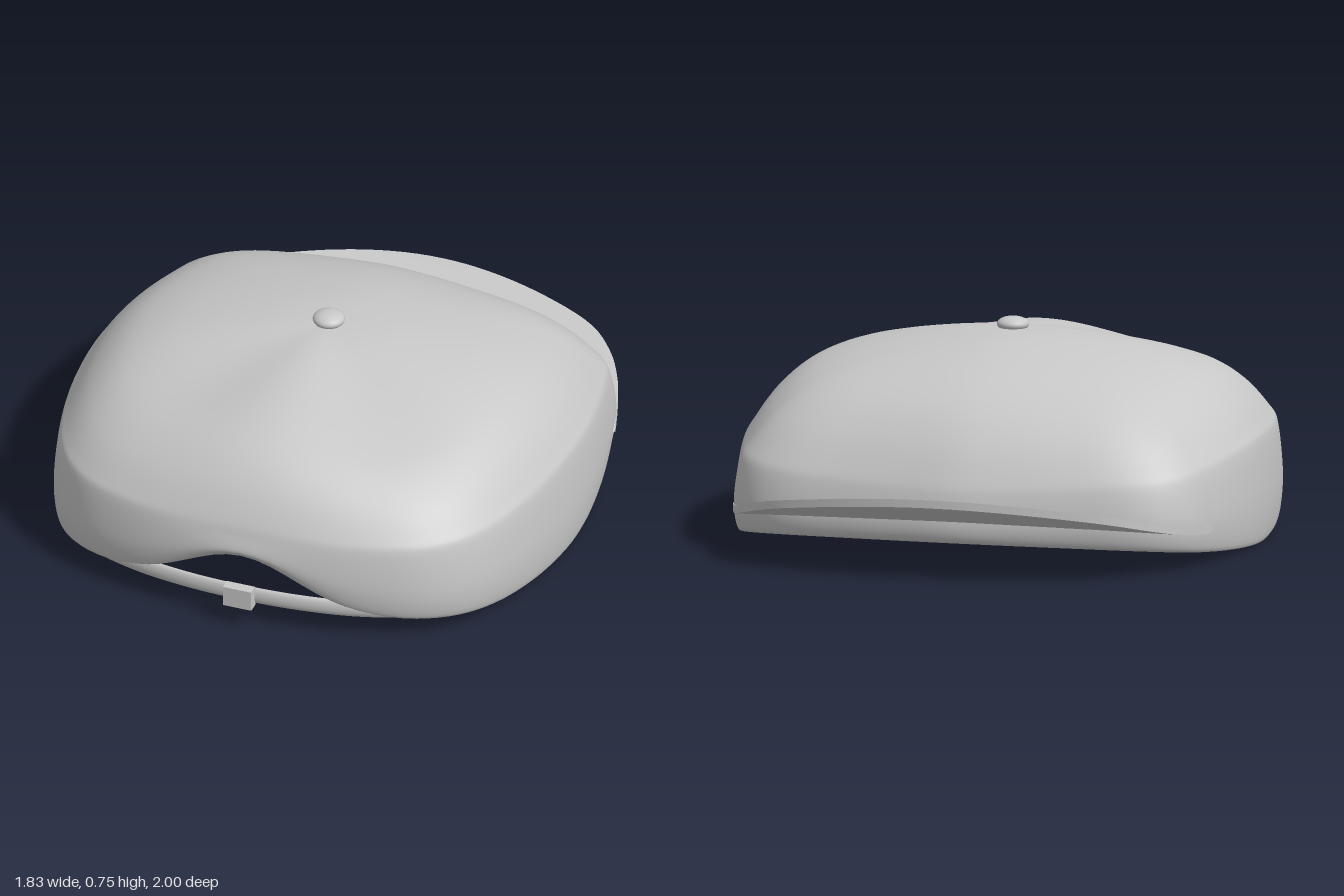
import * as THREE from 'three';
import { toCreasedNormals } from 'three/addons/utils/BufferGeometryUtils.js';

const HALF_X = 0.912, HALF_Z = 0.863, CENTER_Z = 0.11;

// Plan of the cap's widest line: half of it as [x, z] from front to back, then mirrored
const HALF_PLAN = [[0, 0.975], [0.22, 0.965], [0.43, 0.93], [0.62, 0.86], [0.74, 0.76], [0.82, 0.62],
  [0.88, 0.4], [0.91, 0.15], [0.912, -0.05], [0.89, -0.25], [0.855, -0.42], [0.82, -0.54],
  [0.74, -0.63], [0.62, -0.685], [0.4, -0.717], [0.2, -0.737], [0, -0.752]];
const OUTLINE = new THREE.CatmullRomCurve3([
  ...HALF_PLAN.map(([x, z]) => new THREE.Vector3(-x, 0, z)),
  ...HALF_PLAN.slice(1, -1).reverse().map(([x, z]) => new THREE.Vector3(x, 0, z))], true);

// Surface through fn(i, j); rows or columns may wrap round
function gridSurface(rows, cols, fn, wrapRows, wrapCols) {
  const ni = wrapRows ? rows : rows + 1, nj = wrapCols ? cols : cols + 1;
  const pos = [], index = [];
  for (let i = 0; i < ni; i++) for (let j = 0; j < nj; j++) pos.push(...fn(i, j));
  for (let i = 0; i < rows; i++) for (let j = 0; j < cols; j++) {
    const i2 = (i + 1) % ni, j2 = (j + 1) % nj;
    const a = i * nj + j, b = i * nj + j2, c = i2 * nj + j, d = i2 * nj + j2;
    index.push(a, b, c, b, d, c);
  }
  const geo = new THREE.BufferGeometry();
  geo.setAttribute('position', new THREE.Float32BufferAttribute(pos, 3));
  geo.setIndex(index);
  geo.computeVertexNormals();
  return geo;
}

// Outline point relative to the centre, scaled to unit half-sizes
function unitPlan(u) {
  const p = OUTLINE.getPoint(u);
  return new THREE.Vector2(p.x / HALF_X, (p.z - CENTER_Z) / HALF_Z);
}

// Plan point at u (0 front, 0.5 back), shrunk by s and rounder toward the top
function plan(u, s) {
  const q = unitPlan(u);
  q.multiplyScalar(s * Math.pow(q.length(), s * s - 1));
  return [HALF_X * q.x, HALF_Z * q.y + CENTER_Z];
}

// Height of the lower edge: low at the sides, arched over the strap
function rimHeight(u) {
  const [x, z] = plan(u, 1);
  const base = 0.08 * Math.pow(Math.abs(z - CENTER_Z) / 0.8, 1.5);
  return base + (z > CENTER_Z ? 0.17 * Math.exp(-((x / 0.3) ** 2)) : 0);
}

// Section of the shell: outer dome, rolled rim, inner dome
function shellSection(u) {
  const rim = rimHeight(u);
  const dir = unitPlan(u).normalize();
  const backDrop = 0.1 * Math.max(0, -dir.y) ** 2;
  const cornerDrop = 0.035 * (2 * dir.x * dir.y) ** 2 * Math.max(0.2, dir.y * 1.41);
  const dome = list => list.map(([s, y]) => new THREE.Vector2(s,
    y - backDrop * s ** 2.5 - cornerDrop * 6.75 * s * s * (1 - s)));
  const outer = dome([[0, 0.712], [0.12, 0.709], [0.25, 0.7], [0.44, 0.675], [0.62, 0.638],
    [0.77, 0.583], [0.88, 0.5], [0.957, 0.4], [0.984, 0.34]]);
  const inner = dome([[0.86, 0.36], [0.81, 0.435], [0.68, 0.525], [0.5, 0.595], [0.25, 0.645], [0, 0.662]]);
  const low = outer[outer.length - 1].y;
  const lip = [[1, low * 0.45 + rim * 0.55], [0.99, rim + 0.018], [0.965, rim + 0.002],
    [0.91, rim + 0.005], [0.88, rim + 0.04]].map(p => new THREE.Vector2(...p));
  return new THREE.SplineCurve([...outer, ...lip, ...inner]).getPoints(95);
}

function crownGeometry() {
  const cols = 128, sections = [];
  for (let j = 0; j < cols; j++) sections.push(shellSection(j / cols));
  return gridSurface(95, cols, (i, j) => {
    const p = sections[j][i];
    const [x, z] = plan(j / cols, Math.max(p.x, 0.0005));
    return [x, Math.max(p.y, 0), z];
  }, false, true);
}

// Brim: upswept plate from inside the wall to a curved outer edge
function brimGeometry() {
  const half = [[0.2, -0.985], [0.41, -0.94], [0.6, -0.87], [0.71, -0.775],
    [0.78, -0.66], [0.825, -0.54], [0.861, -0.42]];
  const edge = new THREE.SplineCurve([
    ...half.slice().reverse().map(([x, z]) => new THREE.Vector2(-x, z)),
    new THREE.Vector2(0, -1),
    ...half.map(([x, z]) => new THREE.Vector2(x, z))]);
  const cols = 64, steps = 10;
  const geo = gridSurface(2 * steps + 2, cols, (i, j) => {
    const t = j / cols;
    const o = edge.getPoint(t);
    const [ix, iz] = plan(0.3125 + 0.375 * t, 0.95);
    const top = i <= steps;
    const v = (top ? i : 2 * steps + 1 - i) / steps;
    const x = THREE.MathUtils.lerp(ix, o.x, v);
    const z = THREE.MathUtils.lerp(iz, o.y, v);
    const d = -z - 0.42;
    const y = 0.145 + 0.056 * d + 0.334 * d * d;
    const thick = j === 0 || j === cols ? 0.001 : 0.028;
    return [x, y - 0.014 + (top ? thick : -thick) / 2, z];
  }, true, false);
  return toCreasedNormals(geo, 0.8);
}

// Strap: flattened band across the opening, ends buried in the wall
function strapGeometry() {
  const cols = 48, rows = 16;
  return gridSurface(rows, cols, (i, j) => {
    const a = i / rows * Math.PI * 2;
    const [x, z] = plan((0.5 - j / cols) * -0.2, 0.972 + 0.014 * Math.sin(a));
    return [x, 0.113 + 0.031 * Math.cos(a), z];
  }, true, false);
}

export function createModel() {
  const cap = new THREE.Group();
  cap.name = 'cap';
  const cloth = new THREE.MeshStandardMaterial({ color: 0xc8c8c8 });
  cloth.name = 'light grey cloth';
  const add = (name, geo, x = 0, y = 0, z = 0) => {
    const mesh = new THREE.Mesh(geo, cloth);
    mesh.name = name;
    mesh.position.set(x, y, z);
    cap.add(mesh);
    return mesh;
  };

  add('crown', crownGeometry());
  add('brim', brimGeometry());
  add('strap', strapGeometry());
  add('buckle', new THREE.BoxGeometry(0.105, 0.075, 0.04), 0, 0.113, 0.975);

  // Button on top
  add('button', new THREE.SphereGeometry(0.056, 32, 16), 0, 0.722, 0.1).scale.y = 0.48;
  return cap;
}
